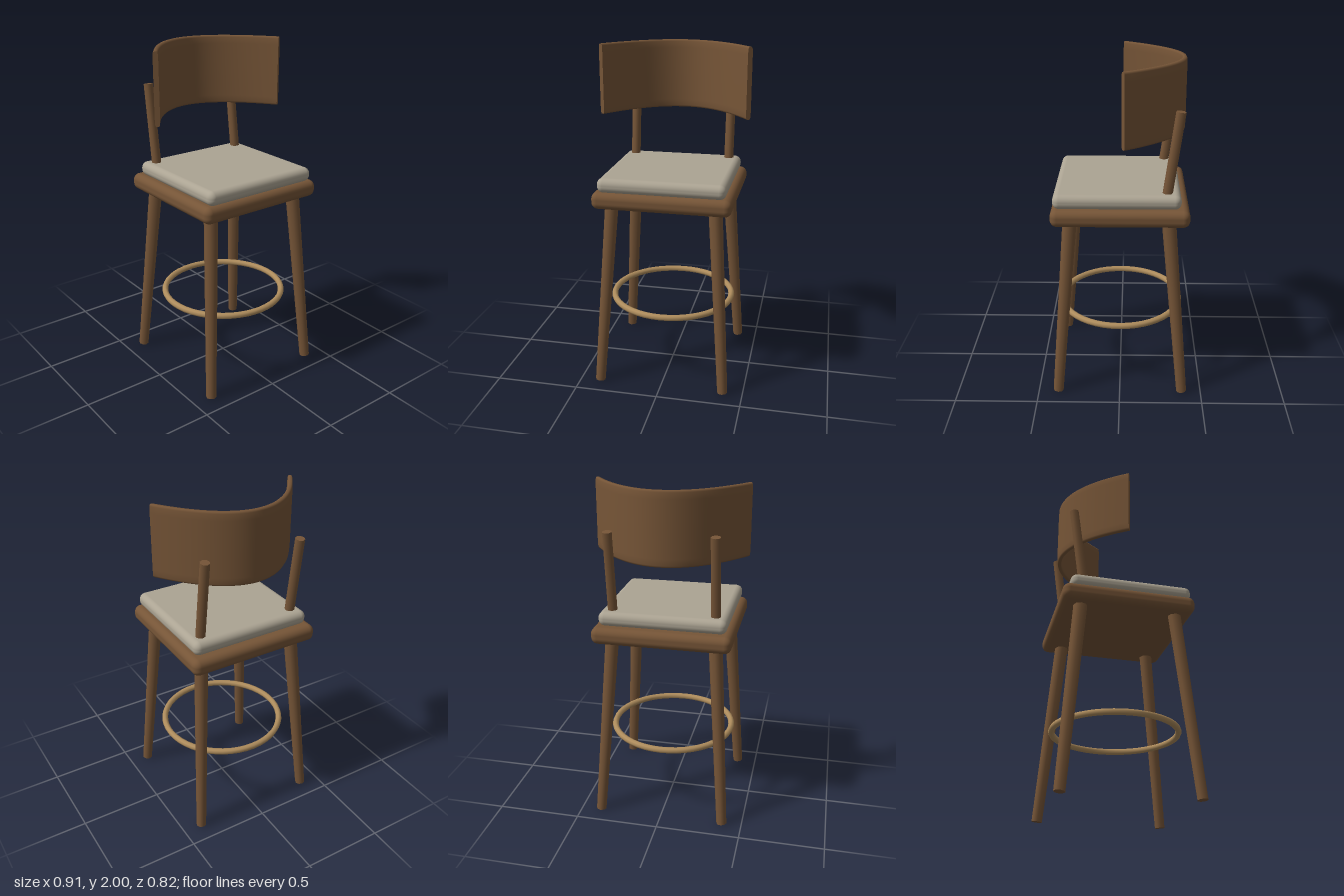
import * as THREE from 'three';
import { RoundedBoxGeometry } from 'three/addons/geometries/RoundedBoxGeometry.js';

const wood = new THREE.MeshStandardMaterial({ color: 0x765537 });
wood.name = 'walnut wood';
const fabric = new THREE.MeshStandardMaterial({ color: 0xaca493 });
fabric.name = 'beige fabric';
const brass = new THREE.MeshStandardMaterial({ color: 0xaf8d5d });
brass.name = 'brass';

function add(group, name, geometry, material) {
  const mesh = new THREE.Mesh(geometry, material);
  mesh.name = name;
  group.add(mesh);
  return mesh;
}

// Eight-sided round bar between two points
function bar(group, name, from, to, rFrom, rTo) {
  const a = new THREE.Vector3(...from);
  const b = new THREE.Vector3(...to);
  const mesh = add(group, name, new THREE.CylinderGeometry(rTo, rFrom, a.distanceTo(b), 8), wood);
  mesh.position.copy(a).lerp(b, 0.5);
  mesh.quaternion.setFromUnitVectors(new THREE.Vector3(0, 1, 0), b.clone().sub(a).normalize());
}

function slab(group, name, size, position, radius, material) {
  add(group, name, new RoundedBoxGeometry(...size, 4, radius), material).position.set(...position);
}

// Bent backrest: a thin upright section swept along a parabola
function backrestGeometry() {
  const curve = new THREE.QuadraticBezierCurve3(
    new THREE.Vector3(-0.44, 0, -0.02), new THREE.Vector3(0, 0, -0.7), new THREE.Vector3(0.44, 0, -0.02));
  const half = [[0.015, -0.16], [0.015, 0.16], [0.0135, 0.197], [0.008, 0.2075]];
  const section = [
    [0.008, -0.2075], [0.0135, -0.197], ...half,
    ...[...half].reverse().map(([u, v]) => [-u, v]),
    [-0.0135, -0.197], [-0.008, -0.2075],
  ];
  const n = section.length, steps = 40;
  const positions = [], index = [];
  const addSection = (t) => {
    const p = curve.getPoint(t);
    const d = curve.getTangent(t);
    for (const [u, v] of section) positions.push(p.x - d.z * u, 1.7925 + v, p.z + d.x * u);
  };
  for (let i = 0; i <= steps; i++) addSection(i / steps);
  for (let i = 0; i < steps; i++) {
    for (let j = 0; j < n; j++) {
      const a = i * n + j, b = i * n + (j + 1) % n;
      index.push(a, a + n, b, b, a + n, b + n);
    }
  }
  // End caps with their own vertices, so their edges stay sharp
  for (const t of [0, 1]) {
    const s = positions.length / 3;
    addSection(t);
    for (let j = 1; j < n - 1; j++) {
      if (t === 0) index.push(s, s + j, s + j + 1);
      else index.push(s, s + j + 1, s + j);
    }
  }
  const geometry = new THREE.BufferGeometry();
  geometry.setAttribute('position', new THREE.Float32BufferAttribute(positions, 3));
  geometry.setIndex(index);
  geometry.computeVertexNormals();
  return geometry;
}

export function createModel() {
  const stool = new THREE.Group();
  stool.name = 'barStool';

  // Seat
  slab(stool, 'seatFrame', [0.81, 0.1, 0.79], [0, 1.16, -0.002], 0.04, wood);
  slab(stool, 'seatCushion', [0.744, 0.085, 0.727], [0, 1.249, 0.016], 0.038, fabric);

  // Splayed legs and back posts
  for (const [side, sx] of [['left', 1], ['right', -1]]) {
    bar(stool, side + 'FrontLeg', [sx * 0.38, 0.003, 0.38], [sx * 0.304, 1.13, 0.286], 0.031, 0.041);
    bar(stool, side + 'BackLeg', [sx * 0.38, 0.003, -0.382], [sx * 0.304, 1.13, -0.28], 0.031, 0.041);
    bar(stool, side + 'BackPost', [sx * 0.3, 1.18, -0.255], [sx * 0.3, 1.758, -0.331], 0.029, 0.028);
  }

  // Footrest ring
  const ring = add(stool, 'footRing', new THREE.TorusGeometry(0.37, 0.019, 8, 48), brass);
  ring.rotation.x = Math.PI / 2;
  ring.position.y = 0.46;

  add(stool, 'backrest', backrestGeometry(), wood);
  return stool;
}
